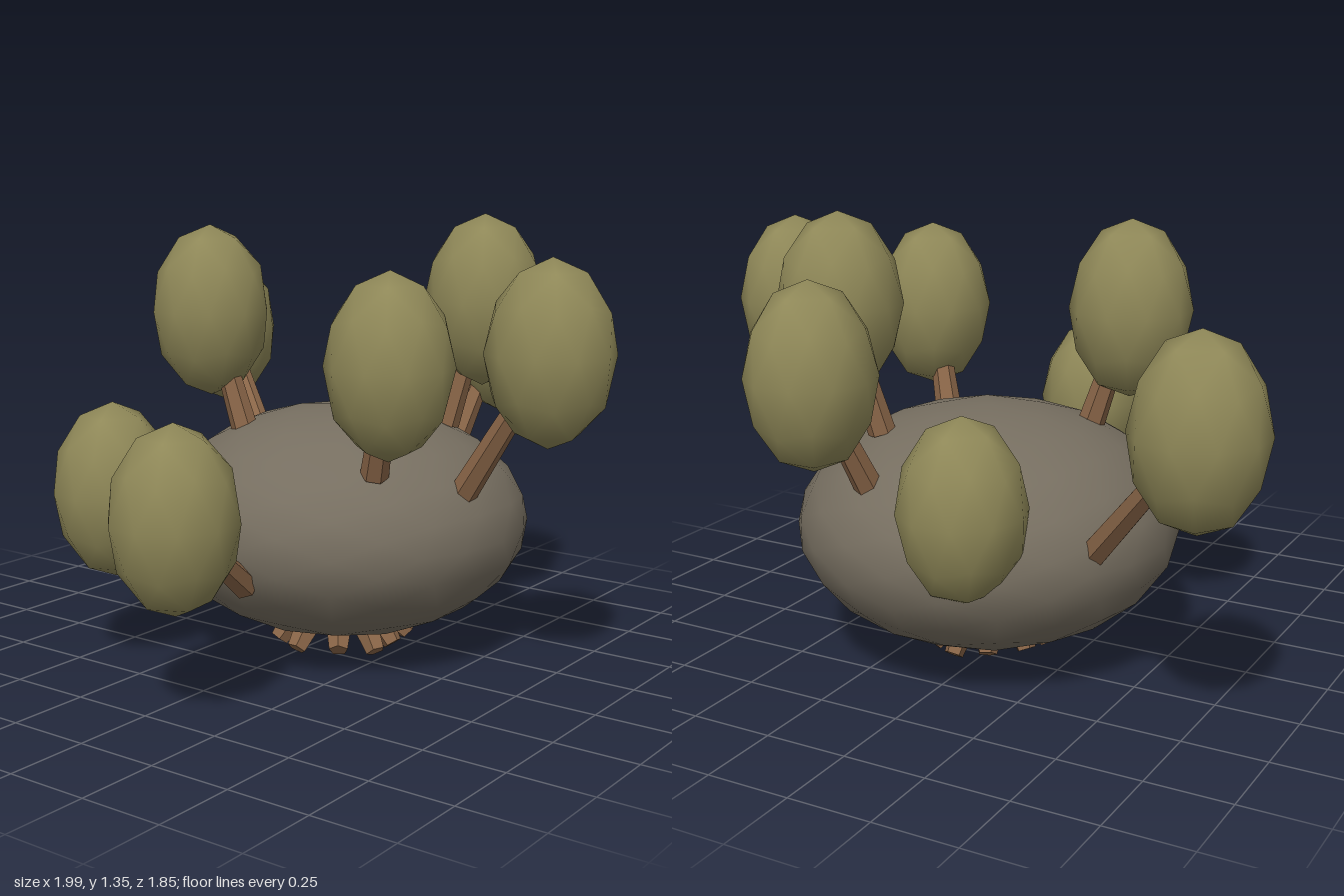
import * as THREE from 'three';

const bark = new THREE.MeshStandardMaterial({ name: 'bark brown', color: 0x8a6648 });
const stone = new THREE.MeshStandardMaterial({ name: 'stone grey', color: 0x766e60 });
const leaf = new THREE.MeshStandardMaterial({ name: 'olive leaf', color: 0x8f8858 });

const v = (a) => new THREE.Vector3(...a);

// Tapered six-sided stick between two points, with crisp facets
function stick(name, from, to, r0, r1, sides = 6) {
  const a = v(from), b = v(to), dir = b.clone().sub(a);
  const geo = new THREE.CylinderGeometry(r1, r0, dir.length(), sides).toNonIndexed();
  geo.computeVertexNormals();
  const mesh = new THREE.Mesh(geo, bark);
  mesh.name = name;
  mesh.position.copy(a).add(b).multiplyScalar(0.5);
  mesh.quaternion.setFromUnitVectors(new THREE.Vector3(0, 1, 0), dir.normalize());
  return mesh;
}

// [foliage centre, branch base on the boulder]
const TREES = [
  [[-0.82, 0.905, -0.61], [-0.43, 0.45, -0.40]],
  [[-0.33, 1.055, 0.055], [-0.21, 0.69, 0.04]],
  [[-0.37, 0.55, 0.465], [-0.27, 0.35, 0.26]],
  [[0.115, 0.58, 0.745], [0.07, 0.31, 0.39]],
  [[0.37, 1.09, -0.425], [0.28, 0.70, -0.36]],
  [[0.465, 0.965, 0.245], [0.355, 0.63, 0.15]],
  [[0.815, 1.0, -0.025], [0.52, 0.56, -0.07]],
  [[0.245, 0.955, -0.75], [0.185, 0.61, -0.58]],
  [[-0.155, 0.605, -0.635], [-0.12, 0.46, -0.56]],
];

export function createModel() {
  const model = new THREE.Group();
  model.name = 'treeTopBoulder';

  // Squashed boulder with a flattened underside
  const rock = new THREE.IcosahedronGeometry(1, 3);
  const p = rock.attributes.position;
  for (let i = 0; i < p.count; i++) p.setY(i, Math.max(p.getY(i), -0.985));
  const boulder = new THREE.Mesh(rock, stone);
  boulder.name = 'boulder';
  boulder.scale.set(0.577, 0.357, 0.582);
  boulder.position.set(0.035, 0.41, -0.15);
  model.add(boulder);

  // Smooth low-poly crown standing on one corner
  const crownGeo = new THREE.IcosahedronGeometry(1, 1);
  crownGeo.rotateZ(-Math.atan(2 / (1 + Math.sqrt(5))));

  // Leaning trees around the boulder
  TREES.forEach(([top, base], i) => {
    const tree = new THREE.Group();
    tree.name = `tree${i + 1}`;
    const crown = new THREE.Mesh(crownGeo, leaf);
    crown.name = 'foliage';
    crown.position.set(...top);
    crown.scale.set(0.184, 0.266, 0.184);
    crown.rotation.y = i * 1.3;
    tree.add(stick('branch', base, top, 0.042, 0.028), crown);
    model.add(tree);
  });

  // Ring of short roots splaying out underneath
  const roots = new THREE.Group();
  roots.name = 'roots';
  const count = 12;
  for (let i = 0; i < count; i++) {
    const a = (i / count) * Math.PI * 2 + 0.12 * Math.sin(i * 5);
    const inner = 0.15, outer = 0.2 + 0.015 * Math.sin(i * 7);
    const low = 0.032 + 0.008 * Math.sin(i * 4);
    const c = Math.cos(a), s = Math.sin(a);
    roots.add(stick('root',
      [0.04 + inner * c, 0.1, -0.13 + inner * s],
      [0.04 + outer * c, low, -0.13 + outer * s], 0.042, 0.03, 5));
  }
  model.add(roots);

  return model;
}
